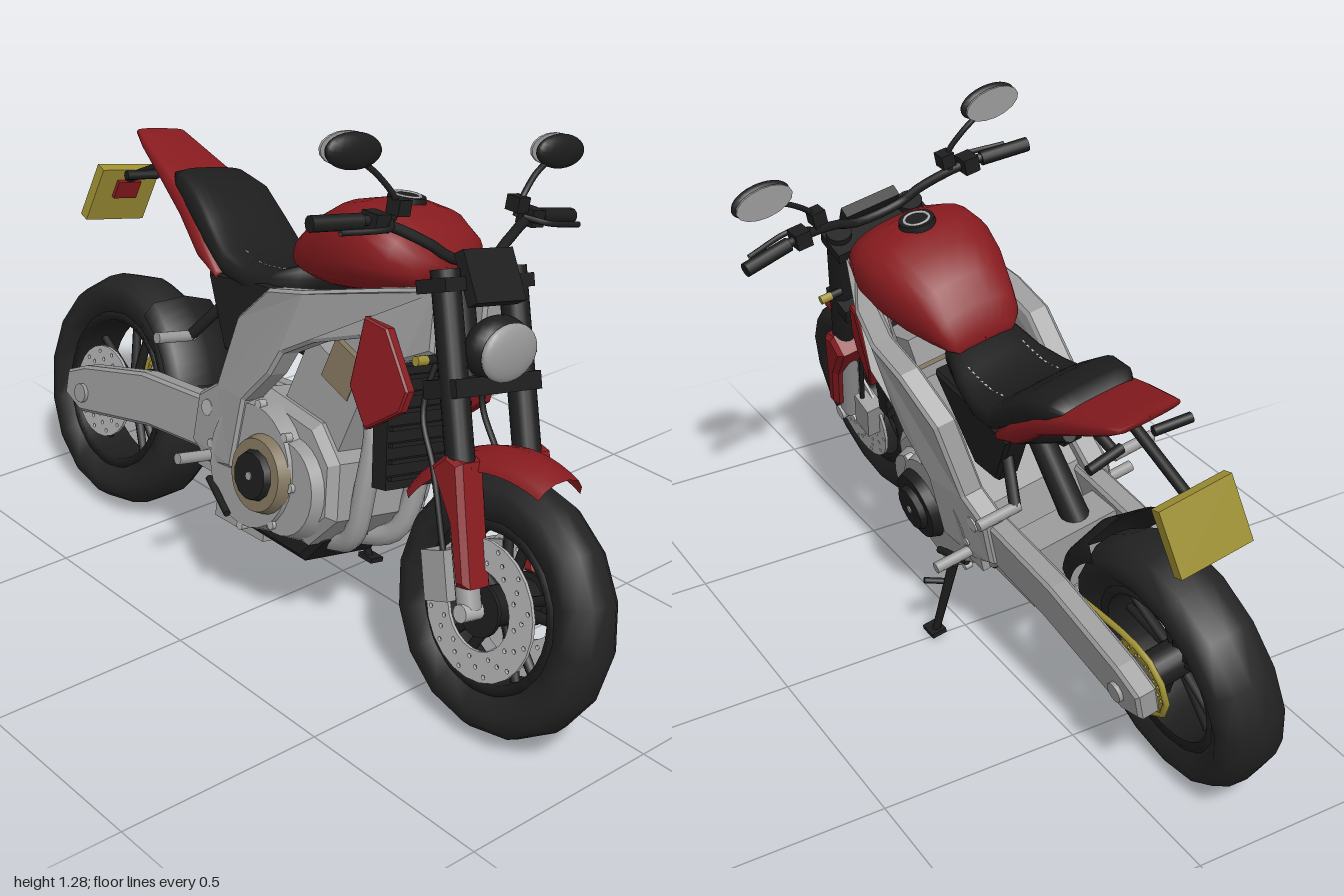
import * as THREE from 'three';

const mat = (name, color, side = THREE.FrontSide) => Object.assign(new THREE.MeshStandardMaterial({ color, side }), { name });

export function createModel() {
  const black = mat('black plastic', 0x1d1d1e, THREE.DoubleSide), rubber = mat('tyre rubber', 0x232323);
  const red = mat('red paint', 0x871b1f, THREE.DoubleSide), grey = mat('grey metal', 0x9a9a9a);
  const silver = mat('bright steel', 0xb0b0b0), tan = mat('bronze cover', 0x81755d);
  const yellow = mat('yellow plate', 0x9f9034), stitch = mat('pale stitching', 0xc8c8c8);
  const bike = new THREE.Group();
  bike.name = 'leaningBike';
  const V = (p) => new THREE.Vector3(...p);

  const add = (name, geo, m, pos = [0, 0, 0], rot = [0, 0, 0], parent = bike) => {
    const mesh = new THREE.Mesh(geo, m);
    mesh.name = name;
    mesh.position.set(...pos);
    mesh.rotation.set(...rot);
    parent.add(mesh);
    return mesh;
  };
  const box = (name, m, size, pos, rotZ = 0) => add(name, new THREE.BoxGeometry(...size), m, pos, [0, 0, rotZ]);
  const ball = (name, m, pos, scale) => add(name, new THREE.SphereGeometry(1, 20, 14), m, pos).scale.set(...scale);
  // cylinder with its axis across the bike
  const drum = (name, m, r, depth, pos, n = 20, r2 = r, parent = bike) =>
    add(name, new THREE.CylinderGeometry(r2, r, depth, n).rotateX(Math.PI / 2), m, pos, [0, 0, 0], parent);
  const rod = (name, m, a, b, r, r2 = r, n = 10, parent = bike) => {
    const d = V(b).sub(V(a));
    const mesh = add(name, new THREE.CylinderGeometry(r2, r, d.length(), n), m, V(a).addScaledVector(d, 0.5).toArray(), [0, 0, 0], parent);
    mesh.quaternion.setFromUnitVectors(new THREE.Vector3(0, 1, 0), d.normalize());
    return mesh;
  };
  const tube = (name, m, pts, r, closed = false) =>
    add(name, new THREE.TubeGeometry(new THREE.CatmullRomCurve3(pts.map(V), closed), 28, r, 8, closed), m);
  // side-view outline given thickness; offset(x) carries it out from the middle
  const panel = (name, m, pts, depth, offset = () => 0, side = 1, bevel = 0.008) => {
    const geo = new THREE.ExtrudeGeometry(new THREE.Shape(pts.map((p) => new THREE.Vector2(...p))), {
      depth, bevelThickness: bevel, bevelSize: bevel, bevelOffset: -bevel, bevelSegments: 1 });
    const p = geo.attributes.position;
    for (let i = 0; i < p.count; i++) p.setZ(i, p.getZ(i) - depth / 2 + side * offset(p.getX(i)));
    geo.computeVertexNormals();
    return add(name, geo, m);
  };
  // skin over cross-sections [x, bottom, top, halfWidth]
  const loft = (name, m, secs, power = 0.8, n = 24) => {
    const pos = [], idx = [];
    const tip = (s) => [s[0], (s[1] + s[2]) / 2 - 0.001, (s[1] + s[2]) / 2 + 0.001, 0.001];
    const all = [tip(secs[0]), ...secs, tip(secs.at(-1))];
    const pw = (v) => Math.sign(v) * Math.abs(v) ** power;
    all.forEach(([x, y0, y1, w], i) => {
      for (let j = 0; j < n; j++) {
        const t = (j / n) * Math.PI * 2, a = i * n + j, b = i * n + ((j + 1) % n);
        pos.push(x, (y0 + y1) / 2 + ((y1 - y0) / 2) * pw(Math.sin(t)), w * pw(Math.cos(t)));
        if (i < all.length - 1) idx.push(a, a + n, b, b, a + n, b + n);
      }
    });
    const geo = new THREE.BufferGeometry();
    geo.setAttribute('position', new THREE.Float32BufferAttribute(pos, 3));
    geo.setIndex(idx);
    geo.computeVertexNormals();
    return add(name, geo, m);
  };
  // surface swept about a wheel axle between two angles in degrees
  const sweep = (pts, from = 0, to = 360, n = 16) => new THREE.LatheGeometry(pts.map((p) => new THREE.Vector2(...p)), n,
    THREE.MathUtils.degToRad(from + 90), THREE.MathUtils.degToRad(to - from)).rotateX(Math.PI / 2);
  const both = (fn) => [1, -1].forEach(fn);

  // drilled disc
  const disc = (r, inner) => {
    const s = new THREE.Shape().absarc(0, 0, r, 0, Math.PI * 2);
    s.holes.push(new THREE.Path().absarc(0, 0, inner, 0, Math.PI * 2, true));
    for (let i = 0; i < 36; i++) {
      const a = (i / 36) * Math.PI * 2, q = inner + (r - inner) * [0.25, 0.52, 0.8][i % 3];
      s.holes.push(new THREE.Path().absarc(Math.cos(a) * q, Math.sin(a) * q, 0.005, 0, Math.PI * 2, true));
    }
    return new THREE.ExtrudeGeometry(s, { depth: 0.008, bevelEnabled: false, curveSegments: 12 }).translate(0, 0, -0.004);
  };

  // wheels
  const wheel = (name, x, y, R, w) => {
    const g = new THREE.Group();
    g.name = name;
    g.position.set(x, y, 0);
    bike.add(g);
    const ri = R - 0.105;
    add('tyre', sweep([[ri, -w * 0.7], [R - 0.06, -w], [R - 0.025, -w * 0.9], [R - 0.006, -w * 0.5], [R, 0], [R - 0.006, w * 0.5],
      [R - 0.025, w * 0.9], [R - 0.06, w], [ri, w * 0.7], [ri, -w * 0.7]]), rubber, undefined, undefined, g);
    add('rim', sweep([[ri - 0.018, -w * 0.7], [ri + 0.005, -w * 0.75], [ri + 0.005, w * 0.75], [ri - 0.018, w * 0.7], [ri - 0.018, -w * 0.7]], 0, 360, 32), black, undefined, undefined, g);
    for (let i = 0; i < 10; i++) {
      const a = (Math.floor(i / 2) / 5) * Math.PI * 2 + 0.3 + (i % 2 ? 0.17 : -0.17);
      rod('spoke', black, [Math.cos(a) * 0.03, Math.sin(a) * 0.03, 0], [Math.cos(a) * (ri - 0.005), Math.sin(a) * (ri - 0.005), 0], 0.014, 0.011, 6, g);
    }
    drum('hub', black, 0.045, 0.15, [0, 0, 0], 20, 0.045, g);
    drum('axle', silver, 0.02, 0.27, [0, 0, 0], 12, 0.02, g);
    return g;
  };
  const front = wheel('frontWheel', 0.71, 0.298, 0.29, 0.07);
  const rear = wheel('rearWheel', -0.692, 0.308, 0.307, 0.085);
  both((s) => {
    add('frontBrakeDisc', disc(0.157, 0.09), silver, [0, 0, s * 0.076], undefined, front);
    drum('discCarrier', black, 0.06, 0.01, [0, 0, s * 0.076], 20, 0.06, front);
    box('frontCaliper', grey, [0.07, 0.11, 0.05], [0.6, 0.335, s * 0.09], 0.35);
  });
  add('rearBrakeDisc', disc(0.12, 0.045), silver, [0, 0, 0.098], undefined, rear);
  add('sprocket', disc(0.095, 0.06), yellow, [0, 0, -0.1], undefined, rear);
  drum('sprocketCarrier', grey, 0.062, 0.02, [0, 0, -0.095], 20, 0.062, rear);

  // chain loop on the left
  tube('chain', yellow, [[-0.69, 0.402, -0.1], [-0.4, 0.385, -0.1], [-0.13, 0.375, -0.1], [-0.1, 0.355, -0.1], [-0.13, 0.335, -0.1], [-0.4, 0.278, -0.1],
    [-0.69, 0.214, -0.1], [-0.758, 0.242, -0.1], [-0.786, 0.308, -0.1], [-0.758, 0.375, -0.1]], 0.008, true);

  // mudguards; the front one narrows towards its leading edge
  const fender = sweep([[0.295, -0.088], [0.315, -0.08], [0.335, -0.05], [0.342, 0], [0.335, 0.05], [0.315, 0.08], [0.295, 0.088]], 72, 148, 14);
  const fp = fender.attributes.position;
  for (let i = 0; i < fp.count; i++) fp.setZ(i, fp.getZ(i) * THREE.MathUtils.mapLinear(THREE.MathUtils.clamp(fp.getX(i), -0.1, 0.11), -0.1, 0.11, 1, 0.7));
  fender.computeVertexNormals();
  add('frontFender', fender, red, [0.71, 0.298, 0]);
  add('rearHugger', sweep([[0.28, -0.1], [0.325, -0.09], [0.345, 0], [0.325, 0.09], [0.28, 0.1]], 20, 62, 8), black, [-0.692, 0.308, 0]);

  // fork, with red guards on the lower legs
  both((s) => {
    const z = s * 0.102;
    rod('upperForkTube', black, [0.61, 0.58, z], [0.462, 0.975, z], 0.032, 0.032, 16);
    rod('lowerForkLeg', grey, [0.705, 0.3, z], [0.61, 0.55, z], 0.027, 0.027, 14);
    panel('forkGuard', red, [[0.55, 0.57], [0.59, 0.615], [0.635, 0.605], [0.67, 0.5], [0.72, 0.355], [0.68, 0.345], [0.63, 0.47]], 0.056, () => 0.105 - s * 0.006, s, 0.012);
    rod('turnSignal', black, [0.5, 0.79, s * 0.12], [0.5, 0.79, s * 0.15], 0.01);
    rod('turnSignalLens', yellow, [0.5, 0.79, s * 0.15], [0.5, 0.79, s * 0.18], 0.011);
    tube('brakeHose', black, [[0.47, 0.86, s * 0.06], [0.46, 0.66, s * 0.09], [0.53, 0.55, s * 0.1], [0.6, 0.39, s * 0.1]], 0.007);
  });
  box('upperClamp', black, [0.09, 0.03, 0.27], [0.462, 0.94, 0], 0.35);
  box('lowerClamp', black, [0.1, 0.04, 0.26], [0.535, 0.735, 0], 0.35);
  rod('steeringStem', black, [0.47, 0.72, 0], [0.395, 0.92, 0], 0.045, 0.045, 16);

  // headlight and gauge
  ball('headlightShell', black, [0.555, 0.825, 0], [0.052, 0.072, 0.088]);
  ball('headlightLens', grey, [0.592, 0.825, 0], [0.022, 0.066, 0.081]);
  box('gauge', black, [0.03, 0.12, 0.15], [0.5, 0.965, 0], 0.6);

  // handlebar, controls and mirrors
  tube('handlebar', black, [[0.35, 1.05, 0.39], [0.37, 1.058, 0.24], [0.42, 1.02, 0.12], [0.44, 0.99, 0.06], [0.44, 0.99, -0.06], [0.42, 1.02, -0.12], [0.37, 1.058, -0.24], [0.35, 1.05, -0.39]], 0.012);
  both((s) => {
    rod('grip', black, [0.364, 1.057, s * 0.27], [0.348, 1.05, s * 0.395], 0.018, 0.018, 12);
    box('switchGear', black, [0.05, 0.04, 0.04], [0.37, 1.058, s * 0.235]);
    tube('lever', black, [[0.38, 1.06, s * 0.2], [0.42, 1.055, s * 0.24], [0.405, 1.045, s * 0.36]], 0.007);
    box('fluidReservoir', black, [0.04, 0.035, 0.035], [0.375, 1.09, s * 0.18]);
    tube('mirrorStem', black, [[0.37, 1.06, s * 0.185], [0.375, 1.1, s * 0.19], [0.36, 1.15, s * 0.235], [0.35, 1.18, s * 0.28]], 0.007);
    ball('mirror', black, [0.353, 1.203, s * 0.312], [0.022, 0.04, 0.076]);
    add('mirrorGlass', new THREE.CylinderGeometry(1, 1, 0.006, 16).rotateZ(Math.PI / 2), grey, [0.331, 1.203, s * 0.312]).scale.set(1, 0.038, 0.073);
  });

  // tank
  loft('tank', red, [[-0.035, 0.83, 0.87, 0.08], [-0.02, 0.825, 0.935, 0.105], [0.03, 0.82, 0.99, 0.125], [0.1, 0.825, 1.035, 0.15], [0.18, 0.84, 1.06, 0.168],
    [0.26, 0.86, 1.058, 0.168], [0.33, 0.885, 1.028, 0.145], [0.37, 0.91, 0.985, 0.1]]);
  add('fuelCapRing', new THREE.CylinderGeometry(0.043, 0.046, 0.02, 24), black, [0.21, 1.06, 0]);
  add('fuelCap', new THREE.TorusGeometry(0.03, 0.004, 6, 20).rotateX(Math.PI / 2), silver, [0.21, 1.07, 0]);

  // seat, tail and side covers
  loft('seat', black, [[-0.525, 0.92, 0.945, 0.09], [-0.49, 0.89, 0.96, 0.11], [-0.41, 0.85, 0.945, 0.125], [-0.32, 0.79, 0.885, 0.13], [-0.24, 0.75, 0.825, 0.135],
    [-0.16, 0.74, 0.81, 0.13], [-0.08, 0.74, 0.82, 0.115], [0.0, 0.77, 0.86, 0.095]], 0.6);
  both((s) => {
    for (let x = -0.22; x < -0.06; x += 0.018) box('stitch', stitch, [0.01, 0.003, 0.004], [x, 0.8085 + (x < -0.16 ? 3 : 1.6) * (x + 0.16) ** 2, s * 0.075]);
    panel('sideCover', black, [[-0.3, 0.75], [-0.2, 0.585], [-0.1, 0.58], [0.02, 0.79], [-0.12, 0.78]], 0.05, () => 0.09, s);
    rod('subframeRail', black, [-0.08, 0.62, s * 0.08], [-0.5, 0.86, s * 0.07], 0.016);
    rod('rearPegBracket', black, [-0.24, 0.69, s * 0.1], [-0.31, 0.585, s * 0.14], 0.014);
    rod('rearPeg', grey, [-0.31, 0.585, s * 0.13], [-0.31, 0.585, s * 0.24], 0.014);
    rod('rearTurnSignal', black, [-0.66, 0.9, s * 0.04], [-0.67, 0.895, s * 0.13], 0.012);
    rod('footPeg', grey, [-0.11, 0.355, s * 0.15], [-0.11, 0.355, s * 0.285], 0.014);
    box('footPegPlate', grey, [0.07, 0.09, 0.02], [-0.12, 0.36, s * 0.175]);
  });
  loft('tail', red, [[-0.725, 0.985, 1.005, 0.075], [-0.68, 0.955, 0.992, 0.085], [-0.56, 0.895, 0.955, 0.105], [-0.44, 0.835, 0.91, 0.125], [-0.34, 0.76, 0.85, 0.135], [-0.26, 0.735, 0.775, 0.13]], 0.6);

  // number plate and its arm
  rod('plateArm', black, [-0.64, 0.94, 0], [-0.85, 0.84, 0], 0.013);
  box('numberPlate', yellow, [0.03, 0.155, 0.18], [-0.868, 0.8, 0], -0.33);
  box('tailLight', red, [0.02, 0.05, 0.07], [-0.846, 0.815, 0], -0.33);

  // frame beams, bowed out around the engine
  const bow = (x) => THREE.MathUtils.lerp(0.18, 0.075, THREE.MathUtils.smoothstep(x, 0.18, 0.44)) - 0.03 * THREE.MathUtils.smoothstep(-x, -0.05, 0.2);
  both((s) => {
    panel('frameBeam', grey, [[0.455, 0.93], [0.36, 0.905], [0.26, 0.875], [0.15, 0.84], [0.03, 0.81], [-0.08, 0.71], [-0.13, 0.53], [-0.2, 0.48], [-0.2, 0.36],
      [-0.12, 0.33], [-0.01, 0.36], [0, 0.53], [0.08, 0.62], [0.11, 0.68], [0.2, 0.735], [0.3, 0.775], [0.4, 0.75], [0.47, 0.79]], 0.045, bow, s);
    [[-0.15, 0.46], [-0.06, 0.56], [-0.07, 0.42]].forEach(([x, y]) => drum('frameBolt', silver, 0.02, 0.02, [x, y, s * 0.178], 12));
    panel('swingarm', grey, [[-0.02, 0.47], [-0.2, 0.468], [-0.45, 0.445], [-0.7, 0.38], [-0.775, 0.345], [-0.775, 0.28], [-0.7, 0.255], [-0.4, 0.32], [-0.2, 0.34], [-0.04, 0.36]], 0.04, () => 0.137, s);
    drum('axleNut', grey, 0.025, 0.02, [-0.692, 0.308, s * 0.165], 12);
    // radiator shroud
    panel('radiatorShroud', red, [[0.315, 0.83], [0.375, 0.82], [0.45, 0.7], [0.44, 0.65], [0.36, 0.585], [0.305, 0.67]], 0.018, (x) => 0.162 - (x - 0.3) * 0.25, s, 0.004);
  });
  box('swingarmBridge', grey, [0.1, 0.1, 0.25], [-0.27, 0.39, 0]);
  rod('shockAbsorber', black, [-0.27, 0.42, 0.03], [-0.12, 0.68, 0.03], 0.035, 0.03, 14);

  // radiator with cooling fins
  box('radiator', black, [0.045, 0.27, 0.25], [0.375, 0.59, 0], 0.2);
  for (let i = 0; i < 7; i++) box('radiatorFin', black, [0.06, 0.01, 0.24], [0.402 - i * 0.0075, 0.485 + i * 0.036, 0], 0.2);

  // engine
  panel('crankcase', grey, [[-0.19, 0.33], [-0.1, 0.26], [0.22, 0.25], [0.3, 0.34], [0.28, 0.47], [0.2, 0.54], [0, 0.56], [-0.14, 0.48]], 0.27, undefined, 1, 0.02);
  box('cylinderBlock', grey, [0.21, 0.24, 0.25], [0.17, 0.57, 0], -0.3);
  box('cylinderHead', tan, [0.1, 0.1, 0.255], [0.225, 0.675, 0], -0.3);
  box('camCover', grey, [0.16, 0.07, 0.22], [0.23, 0.74, 0], -0.3);
  both((s) => {
    const cover = (name, m, r, r2, d, x, y, z, n = 28) => drum(name, m, s > 0 ? r : r2, d, [x, y, s * z], n, s > 0 ? r2 : r);
    cover('sideCase', grey, 0.165, 0.145, 0.07, 0.04, 0.385, 0.16);
    cover('frontCase', grey, 0.13, 0.11, 0.06, 0.15, 0.37, 0.155);
    cover('coverRing', s > 0 ? tan : black, 0.095, 0.085, 0.03, 0.095, 0.385, 0.205);
    cover('coverCap', black, 0.062, 0.055, 0.02, 0.095, 0.385, 0.226, 12);
    drum('coverHub', grey, 0.01, 0.01, [0.095, 0.385, s * 0.234], 10);
    for (let i = 0; i < 8; i++) {
      const a = (i / 8) * Math.PI * 2;
      drum('caseBolt', silver, 0.011, 0.02, [0.04 + Math.cos(a) * 0.15, 0.385 + Math.sin(a) * 0.15, s * 0.185], 8);
    }
    // exhaust headers
    tube('exhaustHeader', grey, [[0.24, 0.62, s * 0.06], [0.3, 0.57, s * 0.07], [0.315, 0.42, s * 0.08], [0.29, 0.29, s * 0.07], [0.2, 0.245, s * 0.05], [0.02, 0.22, s * 0.03]], 0.026);
  });

  // belly pan and muffler
  panel('bellyPan', black, [[-0.12, 0.29], [-0.03, 0.19], [0.18, 0.19], [0.235, 0.26], [0.2, 0.285]], 0.2, undefined, 1, 0.015);
  box('muffler', grey, [0.19, 0.06, 0.17], [-0.09, 0.19, 0], 0.03);

  // side stand, on the left
  rod('sideStand', black, [-0.04, 0.28, -0.21], [0.005, 0.072, -0.278], 0.013, 0.01);
  rod('sideStandTang', black, [-0.02, 0.22, -0.23], [0, 0.24, -0.28], 0.008);
  box('sideStandFoot', black, [0.05, 0.012, 0.04], [0.01, 0.07, -0.28]);
  rod('gearLever', black, [-0.08, 0.3, -0.19], [0.03, 0.28, -0.21], 0.009);
  rod('brakePedal', black, [-0.1, 0.3, 0.19], [0.02, 0.26, 0.22], 0.009);

  // rest the bike over on its stand
  bike.rotation.x = -0.203;
  bike.position.set(0, 0.001, 0.205);
  const model = new THREE.Group();
  model.name = 'motorcycle';
  model.add(bike);
  return model;
}
